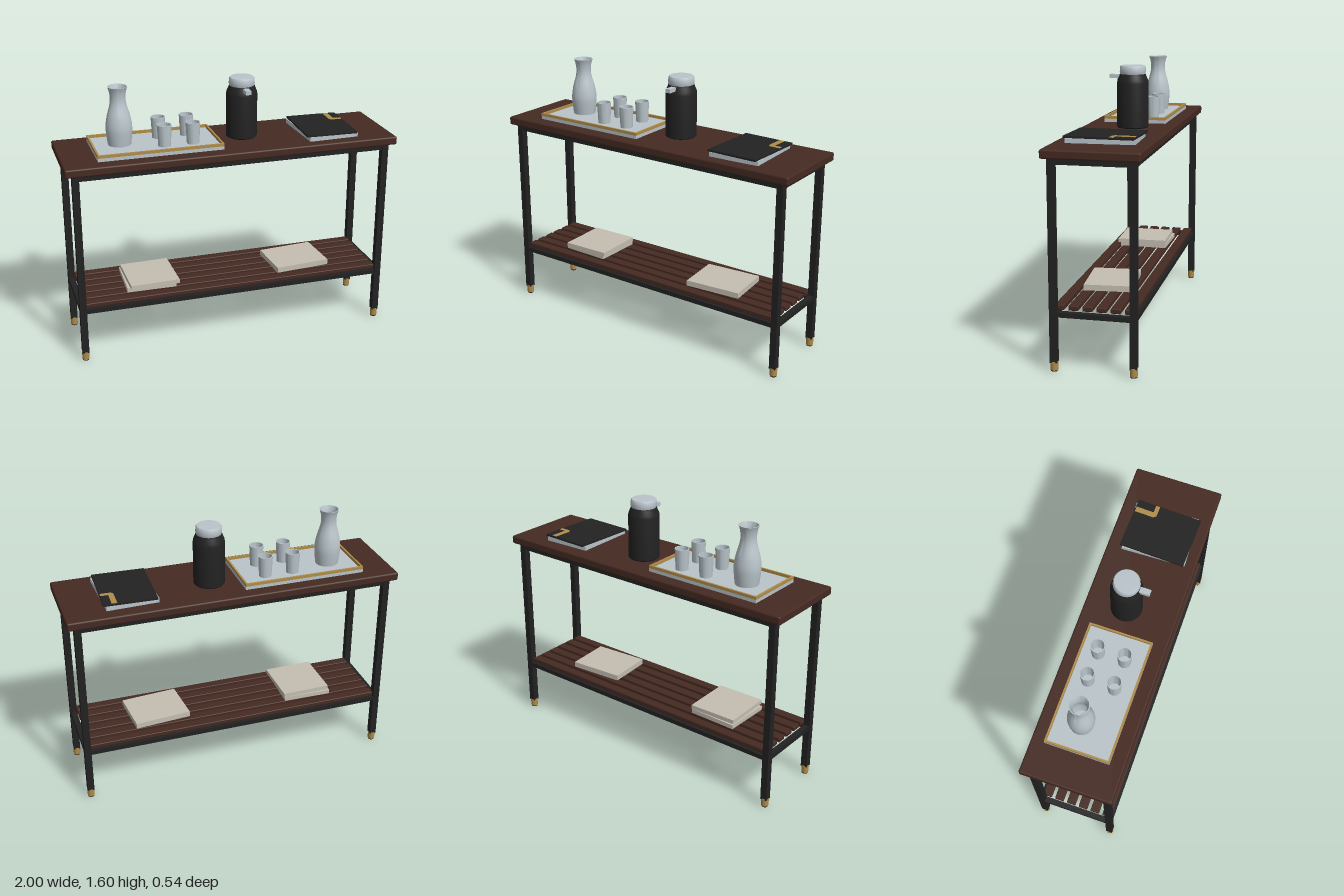
import * as THREE from 'three';
import { RoundedBoxGeometry } from 'three/addons/geometries/RoundedBoxGeometry.js';
import { toCreasedNormals } from 'three/addons/utils/BufferGeometryUtils.js';

const mat = (name, color) => {
  const m = new THREE.MeshStandardMaterial({ color });
  m.name = name;
  return m;
};

export function createModel() {
  const wood = mat('walnut', 0x452a21);
  const black = mat('black', 0x222222);
  const brass = mat('brass', 0xb08d4a);
  const glaze = mat('paleGlaze', 0xb9c4ca);
  const paper = mat('paper', 0xc4beb2);

  const model = new THREE.Group();
  model.name = 'consoleTable';

  const add = (name, geometry, material, x, y, z, parent = model) => {
    const mesh = new THREE.Mesh(geometry, material);
    mesh.name = name;
    mesh.position.set(x, y, z);
    parent.add(mesh);
    return mesh;
  };
  // Boxes are placed by the height of their underside
  const box = (name, material, w, h, d, x, y, z, parent = model) =>
    add(name, new THREE.BoxGeometry(w, h, d), material, x, y + h / 2, z, parent);
  const rounded = (name, material, w, h, d, r, x, y, z, parent = model) =>
    add(name, new RoundedBoxGeometry(w, h, d, 2, r), material, x, y + h / 2, z, parent);
  const lathe = (points) => toCreasedNormals(
    new THREE.LatheGeometry(points.map(([r, y]) => new THREE.Vector2(r, y)), 40), 0.6);

  // Tabletop
  rounded('tabletop', wood, 2, 0.05, 0.54, 0.01, 0, 1.18, 0);

  // Legs with brass feet and dark pads
  const legX = 0.939, legZ = 0.222, legW = 0.04;
  for (const sx of [-1, 1]) {
    for (const sz of [-1, 1]) {
      box('leg', black, legW, 1.13, legW, sx * legX, 0.05, sz * legZ);
      add('foot', new THREE.CylinderGeometry(0.023, 0.021, 0.05, 24), brass, sx * legX, 0.031, sz * legZ);
      add('footPad', new THREE.CylinderGeometry(0.019, 0.019, 0.006, 24), black, sx * legX, 0.003, sz * legZ);
    }
  }

  // Upper and lower rails
  for (const [name, y, h] of [['upperRail', 1.145, 0.035], ['lowerRail', 0.311, 0.028]]) {
    for (const s of [-1, 1]) {
      box(name, black, 2 * legX - legW, h, 0.034, 0, y, s * legZ);
      box(name + 'End', black, 0.034, h, 2 * legZ - legW, s * legX, y, 0);
    }
  }

  // Slatted shelf
  for (let i = 0; i < 6; i++) {
    rounded('shelfSlat', wood, 1.84, 0.028, 0.056, 0.005, 0, 0.341, (i - 2.5) * 0.0785);
  }

  // Books on the shelf
  const books = [
    [0.30, 0.026, 0.30, -0.502, 0.369, 0.002, -0.025],
    [0.30, 0.025, 0.31, -0.49, 0.395, 0.015, 0.02],
    [0.345, 0.034, 0.28, 0.455, 0.369, 0.01, 0.08],
  ];
  for (const [w, h, d, x, y, z, turn] of books) {
    box('shelfBook', paper, w, h, d, x, y, z).rotation.y = turn;
  }

  // Tray with a brass-topped rim
  const tray = new THREE.Group();
  tray.name = 'tray';
  tray.position.set(-0.43, 1.23, -0.003);
  model.add(tray);
  const tw = 0.74, td = 0.38, rim = 0.011;
  box('trayBase', glaze, tw, 0.02, td, 0, 0, 0, tray);
  for (const s of [-1, 1]) {
    box('trayRim', brass, tw, 0.017, rim, 0, 0.02, s * (td - rim) / 2, tray);
    box('trayRimEnd', brass, rim, 0.017, td - 2 * rim, s * (tw - rim) / 2, 0.02, 0, tray);
  }

  // Carafe: outer curve, lip, then inner wall
  const outer = new THREE.SplineCurve([
    [0.068, 0], [0.075, 0.06], [0.077, 0.11], [0.068, 0.17],
    [0.050, 0.235], [0.045, 0.275], [0.049, 0.315], [0.058, 0.345],
  ].map(([r, y]) => new THREE.Vector2(r, y))).getPoints(28).map((p) => [p.x, p.y]);
  const inner = outer.slice(2).reverse().map(([r, y]) => [r - 0.006, y]);
  add('carafe', lathe([[0, 0], ...outer, ...inner, [0, inner[inner.length - 1][1]]]),
    glaze, -0.632, 1.25, -0.033);

  // Four cups
  const cup = lathe([[0, 0], [0.037, 0], [0.043, 0.127], [0.037, 0.127], [0.032, 0.01], [0, 0.01]]);
  for (const x of [-0.388, -0.217]) {
    for (const z of [-0.086, 0.072]) add('cup', cup, glaze, x, 1.25, z);
  }

  // Vacuum flask with lid and spout
  const flask = new THREE.Group();
  flask.name = 'flask';
  flask.position.set(0.112, 1.23, -0.03);
  model.add(flask);
  add('flaskBody', lathe([[0, 0], [0.088, 0], [0.093, 0.006], [0.093, 0.262], [0.09, 0.28],
    [0.08, 0.302], [0.076, 0.315], [0, 0.315]]), black, 0, 0, 0, flask);
  add('flaskLid', lathe([[0, 0.315], [0.074, 0.315], [0.077, 0.325], [0.076, 0.355],
    [0.07, 0.364], [0, 0.366]]), glaze, 0, 0, 0, flask);
  box('flaskSpout', glaze, 0.034, 0.023, 0.09, 0, 0.288, 0.092, flask);

  // Notebook pair with a brass corner mark
  const notebook = new THREE.Group();
  notebook.name = 'notebook';
  notebook.position.set(0.613, 1.23, 0.008);
  model.add(notebook);
  box('notebookPages', glaze, 0.308, 0.026, 0.385, 0, 0, 0, notebook).rotation.y = 0.035;
  const cover = new THREE.Group();
  cover.name = 'cover';
  cover.rotation.y = -0.035;
  notebook.add(cover);
  box('coverBoard', black, 0.315, 0.011, 0.395, 0, 0.026, 0, cover);
  const mark = new THREE.Shape([
    [0.076, 0.192], [0.108, 0.192], [0.108, 0.085], [0.154, 0.085],
    [0.154, 0.060], [0.09, 0.060], [0.076, 0.075],
  ].map(([x, y]) => new THREE.Vector2(x, y)));
  const markGeo = new THREE.ExtrudeGeometry(mark, { depth: 0.002, bevelEnabled: false }).rotateX(-Math.PI / 2);
  add('coverMark', markGeo, brass, 0, 0.037, 0, cover);

  return model;
}
